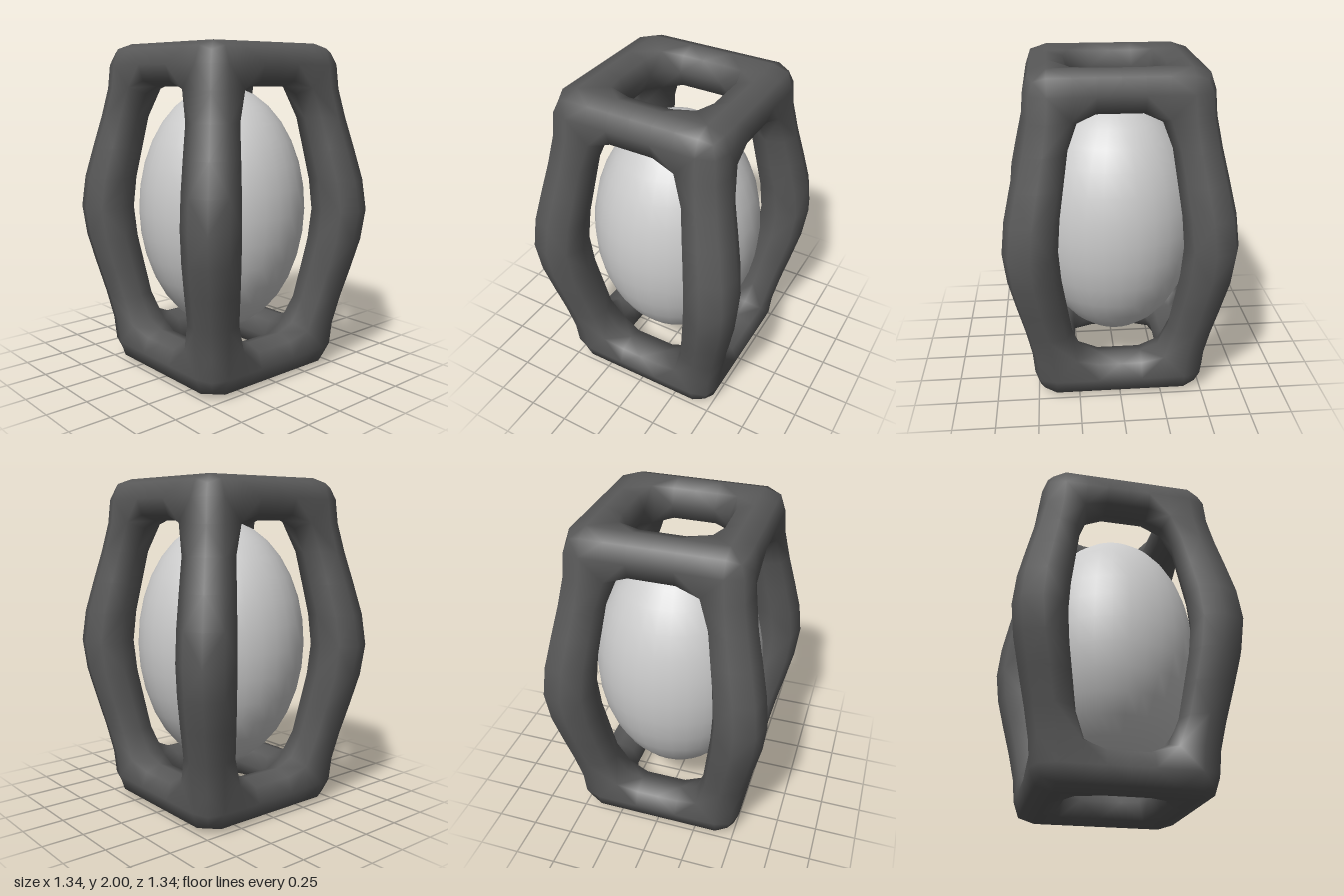
import * as THREE from 'three';

// Cage rows: height, outer and inner half-width (posts bulge at mid height)
const ROWS = [
  [0, 0.52, 0.26], [0.25, 0.52, 0.26], [0.625, 0.61, 0.315], [1, 0.69, 0.37],
  [1.375, 0.61, 0.315], [1.75, 0.52, 0.26], [2, 0.52, 0.26],
];
const CELLS = [4, 6, 4];

// A cell is solid when it lies on at least two outer layers: the twelve bars of a box
const solid = (c) =>
  c.every((n, a) => n >= 0 && n < CELLS[a]) &&
  c.filter((n, a) => n === 0 || n === CELLS[a] - 1).length >= 2;

function cagePoint([i, j, k]) {
  const [y, outer, inner] = ROWS[j];
  const across = [-outer, -inner, 0, inner, outer];
  return new THREE.Vector3(across[i], y, across[k]);
}

// Blocky quad cage around the solid cells
function buildCage() {
  const points = [], quads = [], ids = new Map();
  const idOf = (c) => {
    const key = c.join();
    if (!ids.has(key)) {
      ids.set(key, points.length);
      points.push(cagePoint(c));
    }
    return ids.get(key);
  };
  for (let i = 0; i < CELLS[0]; i++)
    for (let j = 0; j < CELLS[1]; j++)
      for (let k = 0; k < CELLS[2]; k++) {
        if (!solid([i, j, k])) continue;
        for (let d = 0; d < 3; d++)
          for (const s of [-1, 1]) {
            const next = [i, j, k];
            next[d] += s;
            if (solid(next)) continue;
            const quad = [[0, 0], [1, 0], [1, 1], [0, 1]].map(([u, v]) => {
              const c = [i, j, k];
              if (s > 0) c[d]++;
              c[(d + 1) % 3] += u;
              c[(d + 2) % 3] += v;
              return idOf(c);
            });
            quads.push(s > 0 ? quad : quad.reverse());
          }
      }
  return { points, quads };
}

const average = (list) =>
  list.reduce((sum, p) => sum.add(p), new THREE.Vector3()).divideScalar(list.length);

// One round of Catmull-Clark smoothing
function smooth({ points, quads }) {
  const facePts = quads.map((q) => average(q.map((i) => points[i])));
  const edges = new Map();
  const key = (a, b) => (a < b ? `${a}_${b}` : `${b}_${a}`);
  const around = points.map(() => ({ faces: [], mids: [] }));
  quads.forEach((q, f) => q.forEach((a, n) => {
    const b = q[(n + 1) % 4];
    around[a].faces.push(facePts[f]);
    if (!edges.has(key(a, b))) {
      edges.set(key(a, b), { a, b, faces: [] });
      const mid = average([points[a], points[b]]);
      around[a].mids.push(mid);
      around[b].mids.push(mid);
    }
    edges.get(key(a, b)).faces.push(facePts[f]);
  }));
  const out = points.map((p, i) => {
    const n = around[i].faces.length;
    return average(around[i].faces)
      .addScaledVector(average(around[i].mids), 2)
      .addScaledVector(p, n - 3)
      .divideScalar(n);
  });
  const faceStart = out.length;
  out.push(...facePts);
  for (const e of edges.values()) {
    e.id = out.length;
    out.push(average([points[e.a], points[e.b], ...e.faces]));
  }
  const outQuads = [];
  quads.forEach((q, f) => q.forEach((a, n) => {
    const after = edges.get(key(a, q[(n + 1) % 4])).id;
    const before = edges.get(key(a, q[(n + 3) % 4])).id;
    outQuads.push([a, after, faceStart + f, before]);
  }));
  return { points: out, quads: outQuads };
}

export function createModel() {
  const model = new THREE.Group();

  // Rounded open frame with bulging corner posts
  const { points, quads } = smooth(buildCage());
  const frameGeometry = new THREE.BufferGeometry().setFromPoints(points);
  frameGeometry.setIndex(quads.flatMap(([a, b, c, d]) => [a, b, c, a, c, d]));
  frameGeometry.computeVertexNormals();
  const frame = new THREE.Mesh(frameGeometry, new THREE.MeshStandardMaterial({ color: 0x595959 }));
  frame.name = 'frame';
  model.add(frame);

  // Tall ellipsoid held inside the frame
  const coreGeometry = new THREE.SphereGeometry(1, 32, 16);
  coreGeometry.scale(0.515, 0.757, 0.515);
  const core = new THREE.Mesh(coreGeometry, new THREE.MeshStandardMaterial({ color: 0xcccccc }));
  core.name = 'core';
  core.position.y = 1;
  model.add(core);

  return model;
}
